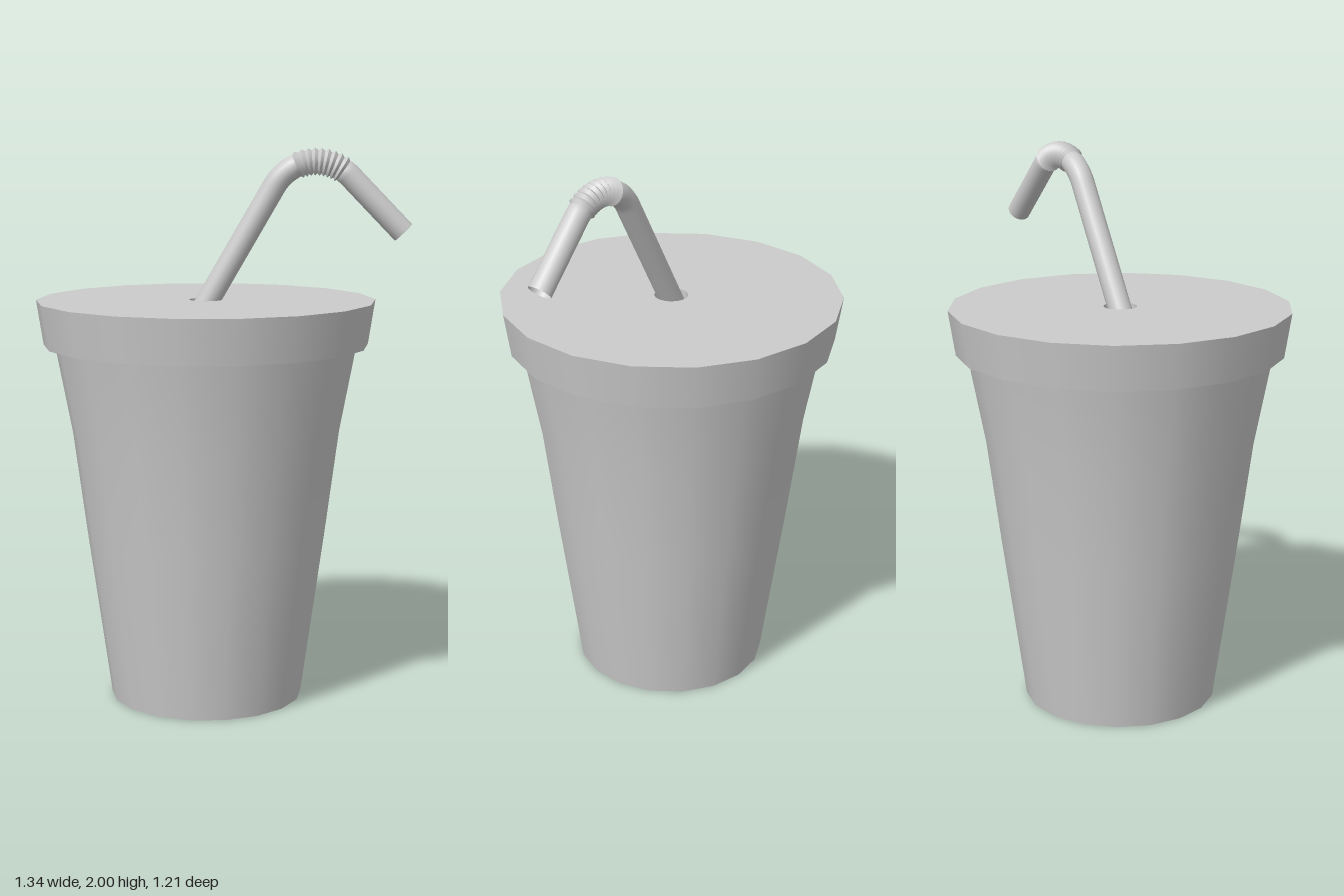
import * as THREE from 'three';
import { toCreasedNormals } from 'three/addons/utils/BufferGeometryUtils.js';

const SIDES = 18;
const TURN = THREE.MathUtils.degToRad(14.7); // rotation of the 18-sided outline
const CUP_X = -0.067;
const material = new THREE.MeshStandardMaterial({ color: 0xcccccc });
const thin = new THREE.MeshStandardMaterial({ color: 0xcccccc, side: THREE.DoubleSide });

function add(parent, name, geometry, mat = material) {
  const mesh = new THREE.Mesh(geometry, mat);
  mesh.name = name;
  parent.add(mesh);
  return mesh;
}

function lathe(points, sides = SIDES) {
  return new THREE.LatheGeometry(points.map(([r, y]) => new THREE.Vector2(r, y)), sides, TURN);
}

// Flat lid disc with a round hole in the middle
function lidTop(radius, holeRadius) {
  const shape = new THREE.Shape();
  const corners = [];
  for (let i = 0; i < SIDES; i++) {
    const a = TURN - Math.PI / 2 + (i / SIDES) * Math.PI * 2;
    corners.push(new THREE.Vector2(radius * Math.cos(a), radius * Math.sin(a)));
  }
  shape.setFromPoints(corners);
  const hole = new THREE.Path();
  hole.absarc(0, 0, holeRadius, 0, Math.PI * 2, true);
  shape.holes.push(hole);
  return new THREE.ShapeGeometry(shape, 12).rotateX(-Math.PI / 2);
}

// Bent straw: straight shaft, arc with a bellows section, straight mouth end
function strawGeometry() {
  const R = 0.17, cx = 0.324, cy = 1.781, r = 0.042, sides = 18;
  const deg = THREE.MathUtils.degToRad;
  const rows = []; // each row: centre x, centre y, outward angle, radius
  const arc = (d, radius) =>
    rows.push([cx + R * Math.cos(deg(d)), cy + R * Math.sin(deg(d)), deg(d), radius]);
  const straight = (d, length) => {
    const a = deg(d);
    rows.push([cx + R * Math.cos(a) + length * Math.sin(a),
      cy + R * Math.sin(a) - length * Math.cos(a), a, r]);
  };

  straight(150, -0.64);
  for (let d = 150; d > 116; d -= 6) arc(d, r);
  const teeth = 9, from = 114, to = 55;
  for (let i = 0; i <= teeth * 2; i++) {
    arc(from + (to - from) * i / (teeth * 2), i % 2 ? 0.049 : 0.04);
  }
  for (let d = 53; d >= 44; d -= 4.5) arc(d, r);
  straight(44, 0.272);

  const positions = [], index = [];
  rows.forEach(([x, y, a, radius], j) => {
    for (let i = 0; i < sides; i++) {
      const t = (i / sides) * Math.PI * 2, n = radius * Math.cos(t);
      positions.push(x + n * Math.cos(a), y + n * Math.sin(a), radius * Math.sin(t));
      if (j === 0) continue;
      const k = (i + 1) % sides, p = (j - 1) * sides, q = j * sides;
      index.push(p + i, q + i, p + k, p + k, q + i, q + k);
    }
  });
  const geometry = new THREE.BufferGeometry();
  geometry.setAttribute('position', new THREE.Float32BufferAttribute(positions, 3));
  geometry.setIndex(index);
  // Faces must point away from the tube axis
  const v = (n) => new THREE.Vector3().fromArray(positions, index[n] * 3);
  const normal = v(1).sub(v(0)).cross(v(2).sub(v(0)));
  const outward = new THREE.Vector3(Math.cos(rows[0][2]), Math.sin(rows[0][2]), 0);
  if (normal.dot(outward) < 0) geometry.setIndex(index.reverse());
  return toCreasedNormals(geometry, 0.6);
}

export function createModel() {
  const model = new THREE.Group();
  model.name = 'drinkCup';

  // Tapered cup, flaring a little more toward the rim
  const cup = new THREE.Group();
  cup.name = 'cup';
  cup.position.x = CUP_X;
  add(cup, 'cupWall', lathe([[0.35, 0], [0.434, 0.6], [0.484, 0.98], [0.545, 1.3]]));
  add(cup, 'cupBottom', lathe([[0, 0], [0.35, 0]]));
  add(cup, 'cupFill', lathe([[0.545, 1.3], [0, 1.3]]));
  model.add(cup);

  // Overhanging lid with a straw hole
  const lid = new THREE.Group();
  lid.name = 'lid';
  lid.position.x = CUP_X;
  add(lid, 'lidRim', lathe([[0.585, 1.3], [0.61, 1.46]]));
  add(lid, 'lidUnderside', lathe([[0.54, 1.3], [0.585, 1.3]]));
  add(lid, 'lidTop', lidTop(0.61, 0.06)).position.y = 1.46;
  add(lid, 'strawHole', lathe([[0.06, 1.46], [0.06, 1.43]], 24), thin);
  model.add(lid);

  add(model, 'straw', strawGeometry(), thin);
  return model;
}
